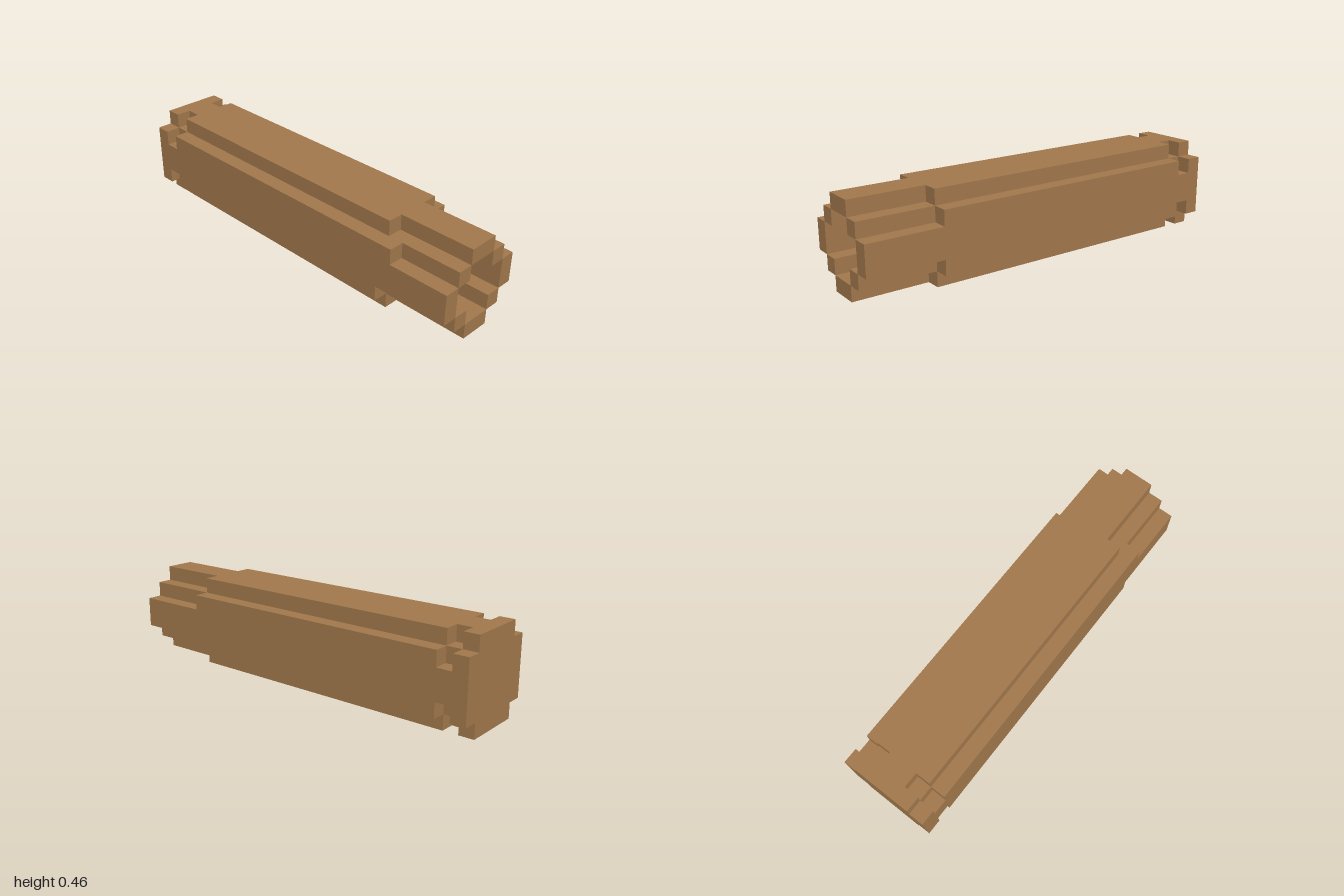
import * as THREE from 'three';

const U = 1 / 13; // one block

export function createModel() {
  const group = new THREE.Group();
  const brown = new THREE.MeshStandardMaterial({ color: 0xa0774b });
  brown.name = 'brown';

  const add = (name, geometry) => {
    const mesh = new THREE.Mesh(geometry, brown);
    mesh.name = name;
    group.add(mesh);
  };

  // Box from block ranges; y and z are measured from the long axis
  const box = (name, x0, x1, y0, y1, z0, z1) => {
    const g = new THREE.BoxGeometry((x1 - x0) * U, (y1 - y0) * U, (z1 - z0) * U);
    g.translate(((x0 + x1) / 2 - 13) * U, ((y0 + y1) / 2 + 3) * U, ((z0 + z1) / 2) * U);
    add(name, g);
  };

  // Solid length with a stepped cross-section, one quarter turned four times
  const length = (name, quarter, x0, x1) => {
    const points = [];
    for (let i = 0; i < 4; i++) {
      const c = [1, 0, -1, 0][i], s = [0, 1, 0, -1][i];
      for (const [a, b] of quarter) points.push(new THREE.Vector2((a * c - b * s) * U, (a * s + b * c) * U));
    }
    const g = new THREE.ExtrudeGeometry(new THREE.Shape(points), { depth: (x1 - x0) * U, bevelEnabled: false });
    g.rotateY(Math.PI / 2).translate((x0 - 13) * U, 3 * U, 0);
    add(name, g);
  };

  const wide = [[3, 2], [2, 2], [2, 3]];
  const narrow = [[3, 1], [2, 1], [2, 2], [1, 2], [1, 3]];
  length('rim', wide, 0, 1);
  length('groove', narrow, 1, 2);
  length('body', wide, 2, 21);

  // Open mouth: a ring of four plates and four corner bars
  for (const s of [-1, 1]) {
    const lo = s > 0 ? 2 : -3;
    box(s > 0 ? 'topPlate' : 'bottomPlate', 21, 26, lo, lo + 1, -1, 1);
    box(s > 0 ? 'frontPlate' : 'backPlate', 21, 26, -1, 1, lo, lo + 1);
    for (const t of [-1, 1]) {
      const y = s > 0 ? 1 : -2, z = t > 0 ? 1 : -2;
      box('cornerBar', 21, 26, y, y + 1, z, z + 1);
    }
  }

  // Uneven steps at the start of the mouth
  box('frontStep', 21, 22, 1, 2, 2, 3);
  box('innerRoofStep', 21, 22, 1, 2, -1, 0);
  box('innerFloorStep', 21, 22, -2, -1, -1, 1);

  return group;
}
